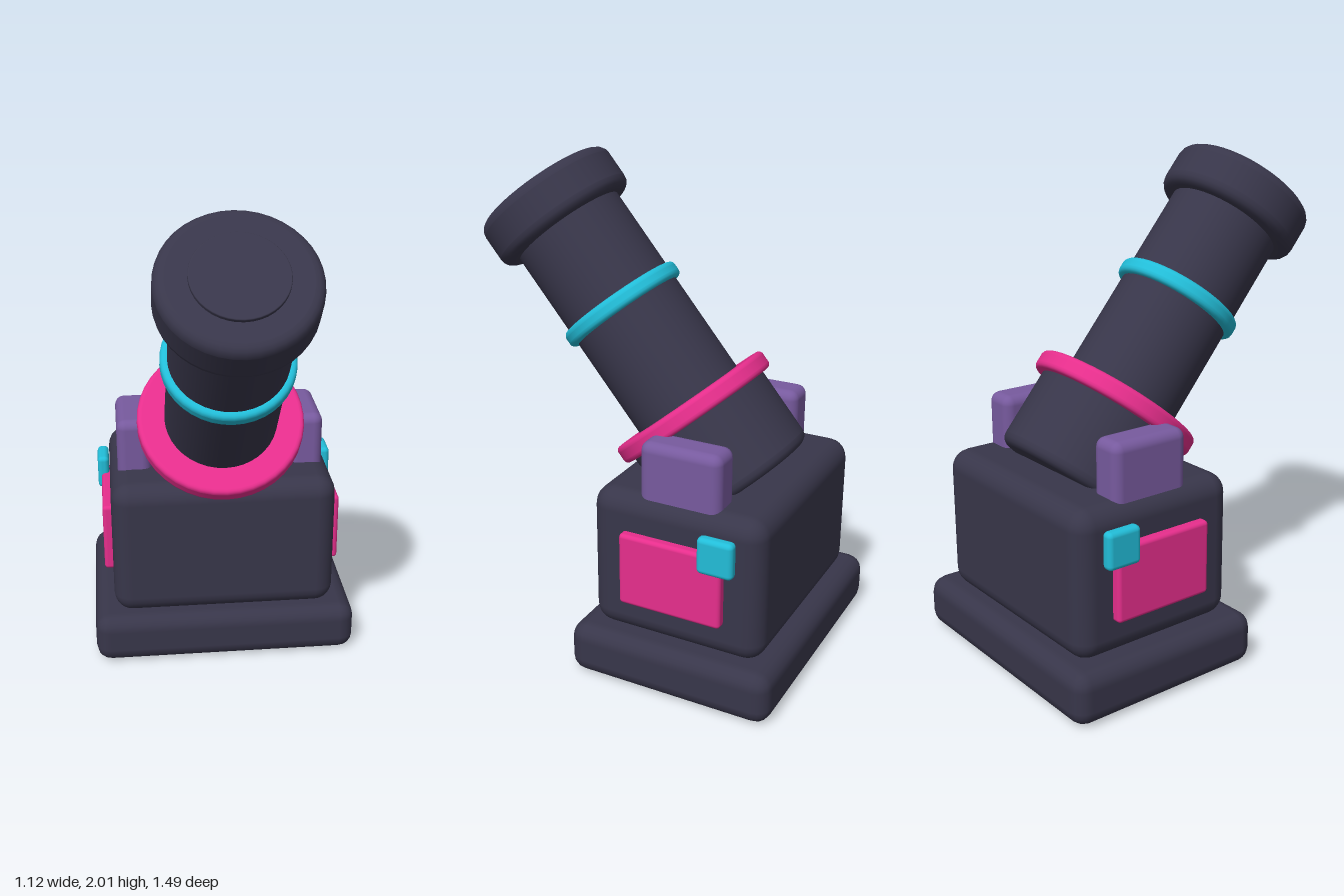
import * as THREE from 'three';
import { RoundedBoxGeometry } from 'three/addons/geometries/RoundedBoxGeometry.js';

const mat = (name, color) => {
  const m = new THREE.MeshStandardMaterial({ color });
  m.name = name;
  return m;
};

export function createModel() {
  const dark = mat('dark slate', 0x38364a);
  const pink = mat('hot pink', 0xe62e8c);
  const cyan = mat('cyan', 0x22bdd8);
  const purple = mat('purple', 0x775a9e);

  const model = new THREE.Group();
  model.name = 'cannon';

  const add = (parent, name, geometry, material) => {
    const mesh = new THREE.Mesh(geometry, material);
    mesh.name = name;
    parent.add(mesh);
    return mesh;
  };

  // Rounded box given by its limits on each axis
  const box = (name, material, [x0, x1], [y0, y1], [z0, z1], radius, segments = 3) => {
    const geometry = new RoundedBoxGeometry(x1 - x0, y1 - y0, z1 - z0, segments, radius);
    const mesh = add(model, name, geometry, material);
    mesh.position.set((x0 + x1) / 2, (y0 + y1) / 2, (z0 + z1) / 2);
  };

  // Solid disc along y with rounded rims; extra loops keep the flats flat
  const disc = (parent, name, material, r, y0, y1, bevel) => {
    const e = 0.002;
    const points = [[0, y0], [r - bevel - e, y0]];
    for (let i = 0; i <= 4; i++) {
      const a = (i / 4) * Math.PI / 2;
      points.push([r - bevel + bevel * Math.sin(a), y0 + bevel - bevel * Math.cos(a)]);
    }
    points.push([r, y0 + bevel + e], [r, y1 - bevel - e]);
    for (let i = 0; i <= 4; i++) {
      const a = (i / 4) * Math.PI / 2;
      points.push([r - bevel + bevel * Math.cos(a), y1 - bevel + bevel * Math.sin(a)]);
    }
    points.push([r - bevel - e, y1], [0, y1]);
    const profile = points.map(([x, y]) => new THREE.Vector2(x, y));
    add(parent, name, new THREE.LatheGeometry(profile, 40), material);
  };

  // Base and housing
  box('basePlate', dark, [-0.56, 0.56], [0, 0.215], [-0.745, 0.118], 0.065, 2);
  box('housing', dark, [-0.475, 0.475], [0.2, 0.8], [-0.675, 0.055], 0.08);

  // Trunnion blocks, side panels and side lights, mirrored
  for (const [side, s] of [['left', 1], ['right', -1]]) {
    const span = (a, b) => (s > 0 ? [a, b] : [-b, -a]);
    box(side + 'TrunnionBlock', purple, span(0.295, 0.44), [0.68, 1.018], [-0.483, -0.143], 0.04);
    box(side + 'Panel', pink, span(0.455, 0.512), [0.35, 0.652], [-0.525, -0.093], 0.016);
    box(side + 'Light', cyan, span(0.478, 0.528), [0.578, 0.728], [-0.578, -0.43], 0.02);
  }

  // Tilted barrel, with its origin at the middle of the collar
  const barrel = new THREE.Group();
  barrel.name = 'barrel';
  barrel.position.set(0, 1.005, -0.157);
  barrel.rotation.x = THREE.MathUtils.degToRad(40);
  model.add(barrel);

  disc(barrel, 'breech', dark, 0.312, -0.362, 0.02, 0.04);
  disc(barrel, 'collar', pink, 0.353, -0.038, 0.038, 0.018);
  add(barrel, 'tube', new THREE.CylinderGeometry(0.238, 0.238, 0.95, 40, 1, true), dark)
    .position.y = 0.475;
  disc(barrel, 'band', cyan, 0.266, 0.47, 0.536, 0.02);
  disc(barrel, 'muzzle', dark, 0.302, 0.885, 1.075, 0.04);
  disc(barrel, 'muzzlePlug', dark, 0.18, 1.05, 1.09, 0.004);

  return model;
}
